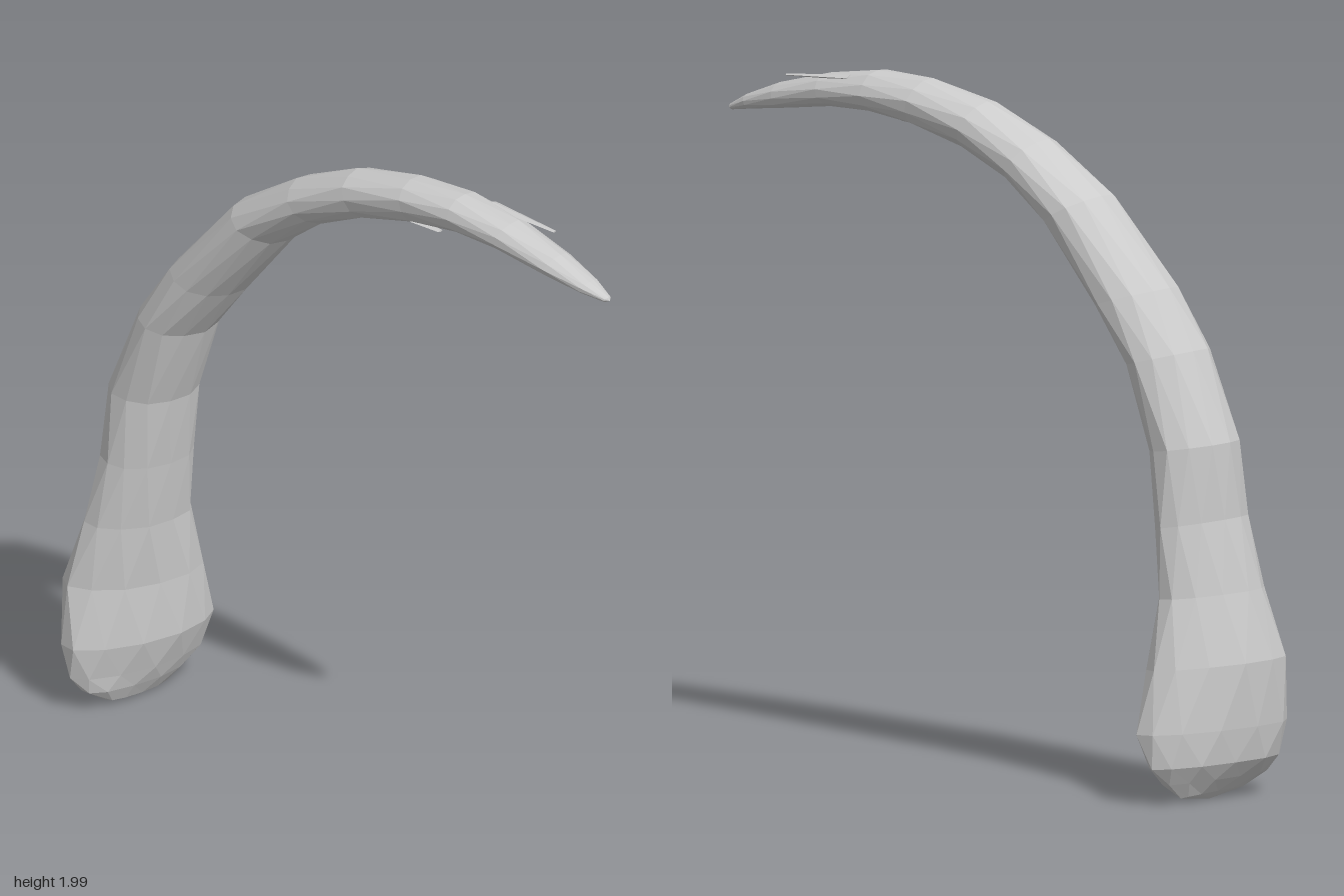
import * as THREE from 'three';

const SIDES = 12;

// Each section: outer edge x, y, inner edge x, y, back z, front z
const SECTIONS = [
  [-0.86, 0.03, -0.81, 0.015, -0.12, 0.13],
  [-0.90, 0.07, -0.78, 0.06, -0.18, 0.20],
  [-0.94, 0.12, -0.755, 0.11, -0.225, 0.23],
  [-0.96, 0.22, -0.72, 0.21, -0.245, 0.25],
  [-0.97, 0.41, -0.72, 0.39, -0.20, 0.225],
  [-0.92, 0.61, -0.715, 0.59, -0.145, 0.19],
  [-0.875, 0.82, -0.69, 0.79, -0.135, 0.17],
  [-0.865, 1.04, -0.655, 1.01, -0.128, 0.16],
  [-0.76, 1.30, -0.57, 1.25, -0.128, 0.153],
  [-0.65, 1.47, -0.45, 1.41, -0.130, 0.138],
  [-0.43, 1.72, -0.27, 1.63, -0.130, 0.115],
  [-0.21, 1.86, -0.12, 1.74, -0.112, 0.100],
  [0.00, 1.95, 0.06, 1.815, -0.100, 0.090],
  [0.22, 1.994, 0.25, 1.86, -0.095, 0.082],
  [0.41, 2.00, 0.41, 1.88, -0.090, 0.077],
  [0.60, 1.972, 0.57, 1.88, -0.080, 0.070],
  [0.78, 1.925, 0.75, 1.853, -0.062, 0.060],
  [0.90, 1.88, 0.875, 1.838, -0.040, 0.040],
  [0.96, 1.845, 0.95, 1.828, -0.020, 0.010],
];

// Skin of elliptical rings with closed ends
function shaftGeometry() {
  const pos = [], index = [];
  SECTIONS.forEach(([ox, oy, ix, iy, z0, z1], i) => {
    // The swollen base is skewed so its front lobe sits further out
    const skew = i < 5 ? 0.5 : Math.max(0.1, 0.5 - (i - 4) * 0.12);
    const c = Math.sqrt(1 - skew * skew);
    for (let j = 0; j < SIDES; j++) {
      const a = (j + (i % 2) * 0.5) / SIDES * Math.PI * 2;
      const rough = 1 + 0.025 * Math.sin(i * 5.3 + j * 3.7);
      const u = (c * Math.cos(a) + skew * Math.sin(a)) * rough;
      pos.push(
        (ox + ix) / 2 + (ox - ix) / 2 * u,
        (oy + iy) / 2 + (oy - iy) / 2 * u,
        (z0 + z1) / 2 + (z1 - z0) / 2 * Math.sin(a) * Math.min(rough, 1),
      );
    }
  });
  const n = SECTIONS.length;
  for (let i = 0; i < n - 1; i++) {
    for (let j = 0; j < SIDES; j++) {
      const k = (j + 1) % SIDES;
      const a = i * SIDES + j, b = i * SIDES + k;
      const d = a + SIDES, e = b + SIDES;
      // Diagonals follow the half-step stagger of the rings
      if (i % 2 === 0) index.push(a, b, d, b, e, d);
      else index.push(a, b, e, a, e, d);
    }
  }
  const root = pos.length / 3, tip = root + 1;
  pos.push(-0.83, 0.005, 0, 0.965, 1.835, -0.005);
  const last = (n - 1) * SIDES;
  for (let j = 0; j < SIDES; j++) {
    const k = (j + 1) % SIDES;
    index.push(root, k, j, tip, last + j, last + k);
  }
  const g = new THREE.BufferGeometry();
  g.setAttribute('position', new THREE.Float32BufferAttribute(pos, 3));
  g.setIndex(index);
  g.computeVertexNormals();
  return g;
}

// Thin pointed flake running from one point to another
function splinter(name, from, to, width, thickness, material) {
  const a = new THREE.Vector3(...from), b = new THREE.Vector3(...to);
  const dir = b.clone().sub(a);
  const g = new THREE.CylinderGeometry(0.35, 1, dir.length(), 4);
  g.scale(thickness / 2, 1, width / 2);
  const mesh = new THREE.Mesh(g, material);
  mesh.name = name;
  mesh.position.copy(a).add(b).multiplyScalar(0.5);
  mesh.quaternion.setFromUnitVectors(new THREE.Vector3(0, 1, 0), dir.normalize());
  return mesh;
}

export function createModel() {
  const group = new THREE.Group();
  group.name = 'curvedBone';
  const material = new THREE.MeshStandardMaterial({ color: 0xcccccc, flatShading: true });

  const shaft = new THREE.Mesh(shaftGeometry(), material);
  shaft.name = 'shaft';
  group.add(shaft);

  // Raised flakes along the surface
  group.add(
    splinter('upperSplinter', [0.48, 1.975, -0.045], [0.715, 1.96, -0.05], 0.04, 0.016, material),
    splinter('lowerSplinter', [0.12, 1.862, 0.0], [0.33, 1.86, 0.01], 0.05, 0.018, material),
    splinter('sideSplinter', [-0.20, 1.825, 0.065], [-0.38, 1.712, 0.07], 0.04, 0.03, material),
  );
  return group;
}
